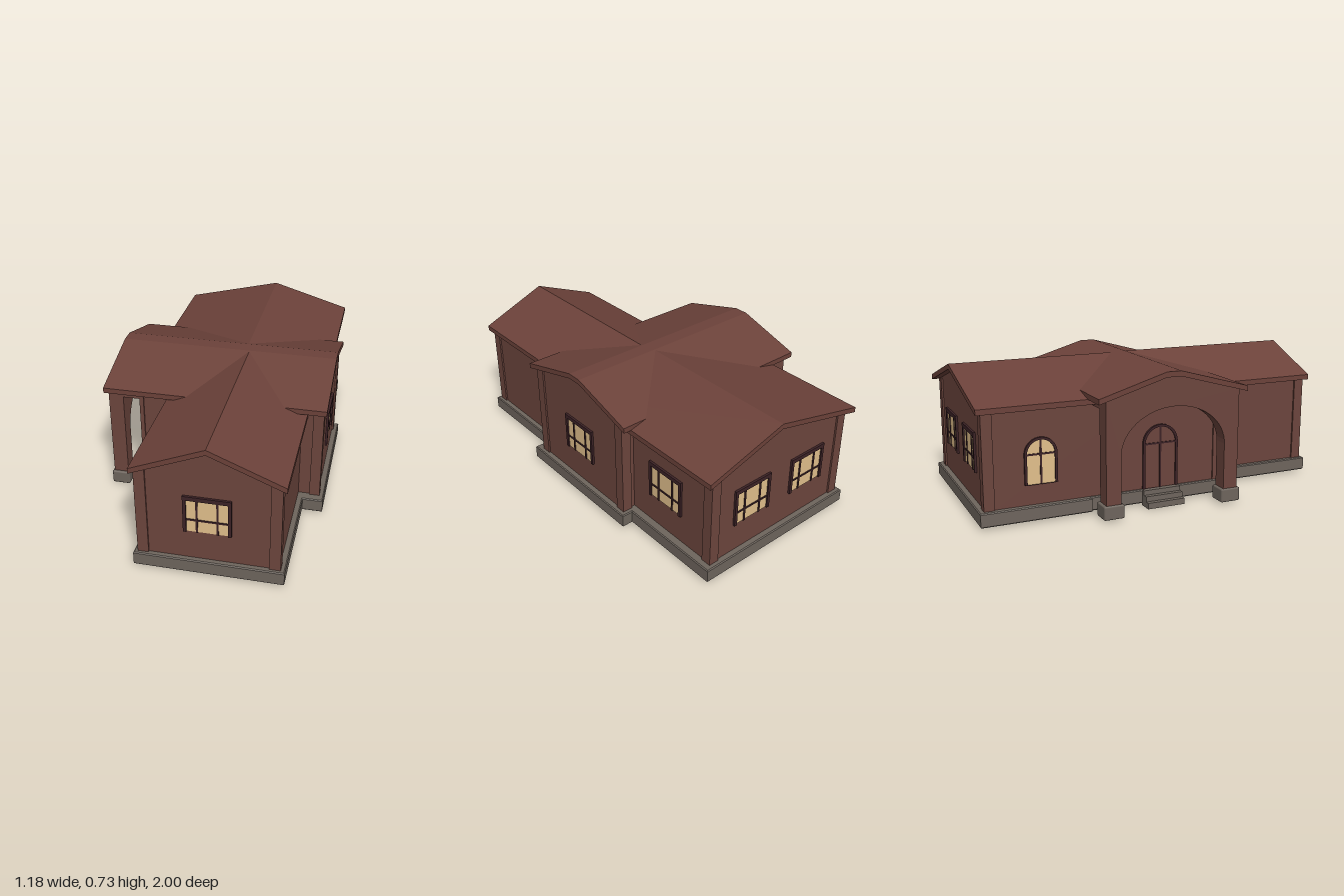
import * as THREE from 'three';
import { RoundedBoxGeometry } from 'three/addons/geometries/RoundedBoxGeometry.js';

const mat = (name, color) => {
  const m = new THREE.MeshStandardMaterial({ color });
  m.name = name;
  return m;
};

export function createModel() {
  const house = new THREE.Group();
  house.name = 'house';
  const wall = mat('wall brown', 0x6c453d);
  const roof = mat('roof red brown', 0x6c423a);
  const frame = mat('dark frame', 0x3c2226);
  const glass = mat('warm glass', 0xe2c08c);
  const stone = mat('grey stone', 0x6e655d);

  const add = (name, geo, m, parent = house) => {
    const mesh = new THREE.Mesh(geo, m);
    mesh.name = name;
    parent.add(mesh);
    return mesh;
  };
  // box given by its limits
  const box = (name, x0, x1, y0, y1, z0, z1, m, parent) => {
    const g = new THREE.BoxGeometry(x1 - x0, y1 - y0, z1 - z0);
    g.translate((x0 + x1) / 2, (y0 + y1) / 2, (z0 + z1) / 2);
    return add(name, g, m, parent);
  };
  const shapeOf = pts => new THREE.Shape(pts.map(p => new THREE.Vector2(p[0], p[1])));
  // prism between a and b along z (profile x,y) or along x (profile z,y)
  const prism = (name, shape, axis, a, b, m) => {
    const g = new THREE.ExtrudeGeometry(shape, { depth: b - a, bevelEnabled: false, curveSegments: 16 });
    if (axis === 'z') g.translate(0, 0, a);
    else g.rotateY(-Math.PI / 2).translate(b, 0, 0);
    return add(name, g, m);
  };
  // sloping band of given thickness below a roof line
  const T = 0.028;
  const band = line => shapeOf([...line, ...line.slice().reverse().map(([u, y]) => [u, y - T])]);
  const heightAt = (line, u) => {
    const i = Math.max(1, line.findIndex(p => u <= p[0]));
    const [a, b] = [line[i - 1], line[i]];
    return a[1] + (b[1] - a[1]) * (u - a[0]) / (b[0] - a[0]);
  };
  // underside of a roof between two wall faces
  const under = (line, u0, u1) => [
    [u0, heightAt(line, u0)], ...line.filter(p => p[0] > u0 && p[0] < u1), [u1, heightAt(line, u1)],
  ].map(([u, y]) => [u, y - T + 0.004]);
  const gableShape = (line, u0, u1, base) => shapeOf([[u0, base], ...under(line, u0, u1), [u1, base]]);

  // roof lines
  const frontLine = [[-0.26, 0.58], [0.11, 0.731], [0.48, 0.58]];
  const backLine = [[-0.45, 0.6], [0.09, 0.731], [0.537, 0.6]];
  const crossLine = [[-0.44, 0.627], [-0.08, 0.733], [0, 0.733], [0.383, 0.627]];

  // roofs
  prism('frontRoof', band(frontLine), 'z', 0, 1, roof);
  prism('backRoof', band(backLine), 'z', -1, -0.08, roof);
  prism('crossRoof', band(crossLine), 'x', -0.592, 0.58, roof);

  // walls of the three wings
  prism('frontWing', gableShape(frontLine, -0.235, 0.45, 0.06), 'z', 0, 0.965, wall);
  prism('backWing', gableShape(backLine, -0.405, 0.485, 0.06), 'z', -0.96, -0.08, wall);
  prism('crossWing', gableShape(crossLine, -0.39, 0.33, 0.06), 'x', -0.405, 0.555, wall);

  // corner boards: wall corner, the direction towards its inside, and top
  const P = 0.009, W = 0.046;
  const corners = [
    [-0.235, 0.965, 1, -1, 0.572], [0.45, 0.965, -1, -1, 0.572],
    [-0.405, -0.96, 1, 1, 0.59], [0.485, -0.96, -1, 1, 0.59],
    [0.555, 0.33, -1, -1, 0.622], [0.555, -0.39, -1, 1, 0.622],
  ];
  for (const [x, z, sx, sz, top] of corners) {
    const xs = [x - sx * P, x + sx * W].sort((a, b) => a - b);
    const zs = [z - sz * P, z + sz * W].sort((a, b) => a - b);
    box('cornerBoard', xs[0], xs[1], 0.08, top, zs[0], zs[1], wall);
  }
  box('cornerBoard', -0.412, -0.39, 0.08, 0.6, 0.29, 0.338, wall);

  // porch: arched front with pillars, and a solid gable above the open sides
  const arch = shapeOf([
    [-0.4, 0.08], ...under(crossLine, -0.4, 0.34), [0.34, 0.08], [0.26, 0.08], [0.26, 0.33],
  ]);
  arch.absellipse(-0.03, 0.33, 0.29, 0.225, 0, Math.PI, false, 0);
  arch.lineTo(-0.32, 0.08);
  prism('porchArch', arch, 'x', -0.58, -0.5, wall);
  prism('porchGable', gableShape(crossLine, -0.4, 0.34, 0.56), 'x', -0.5, -0.4, wall);
  for (const z of [-0.36, 0.3]) {
    const g = new RoundedBoxGeometry(0.1, 0.073, 0.11, 1, 0.008);
    add('pillarBase', g.translate(-0.54, 0.0485, z), stone);
  }

  // foundation band, open in the middle (plan drawn as x, -z)
  const plan = [
    [-0.26, 0.99], [0.478, 0.99], [0.478, 0.382], [0.585, 0.382], [0.585, -0.42], [0.525, -0.42],
    [0.525, -0.99], [-0.435, -0.99], [-0.435, -0.42], [-0.418, -0.42], [-0.418, 0.382], [-0.26, 0.382],
  ];
  const inner = [
    [-0.19, 0.92], [0.41, 0.92], [0.41, 0.32], [0.515, 0.32], [0.515, -0.35], [0.46, -0.35],
    [0.46, -0.92], [-0.365, -0.92], [-0.365, -0.35], [-0.35, -0.35], [-0.35, 0.32], [-0.19, 0.32],
  ];
  const flip = pts => pts.map(([x, z]) => [x, -z]);
  const ring = shapeOf(flip(plan));
  ring.holes.push(shapeOf(flip(inner)));
  const B = 0.005;
  const ringGeo = new THREE.ExtrudeGeometry(ring, {
    depth: 0.073 - 2 * B, bevelThickness: B, bevelSize: B, bevelOffset: -B / 2, bevelSegments: 1,
  });
  ringGeo.rotateX(-Math.PI / 2).translate(0, 0.012 + B, 0);
  add('foundation', ringGeo, stone);

  // entrance steps
  [[-0.49, 0.032], [-0.465, 0.06], [-0.44, 0.085]].forEach(([x, y]) => {
    box('step', x, -0.415, 0, y, -0.13, 0.08, stone);
  });

  // square windows, built facing +z
  const place = (name, x, y, z, turn) => {
    const g = new THREE.Group();
    g.name = name;
    g.position.set(x, y, z);
    g.rotation.y = turn;
    house.add(g);
    return g;
  };
  const squareWindow = (x, z, turn) => {
    const g = place('window', x, 0.345, z, turn);
    box('glass', -0.105, 0.105, -0.1, 0.085, -0.002, 0.004, glass, g);
    box('topFrame', -0.117, 0.117, 0.08, 0.102, 0, 0.012, frame, g);
    for (const s of [-1, 1]) {
      box('sideFrame', s * 0.109 - 0.008, s * 0.109 + 0.008, -0.102, 0.08, 0, 0.012, frame, g);
      box('mullion', s * 0.05 - 0.005, s * 0.05 + 0.005, -0.102, 0.08, 0, 0.008, frame, g);
    }
    box('crossbar', -0.105, 0.105, -0.036, -0.027, 0, 0.008, frame, g);
  };
  const H = Math.PI / 2;
  squareWindow(0.105, 0.965, 0);
  squareWindow(0.555, -0.03, H);
  squareWindow(0.485, -0.64, H);
  squareWindow(0.225, -0.96, 2 * H);
  squareWindow(-0.155, -0.96, 2 * H);

  // arched openings on the porch side
  const archShape = (r, h) => {
    const s = shapeOf([[-r, 0], [r, 0], [r, h - r]]);
    s.absarc(0, h - r, r, 0, Math.PI, false);
    return s;
  };
  const plate = (name, s, d, m, g) =>
    add(name, new THREE.ExtrudeGeometry(s, { depth: d, bevelEnabled: false }), m, g);
  const archedOpening = (name, z, y, r, h, fill) => {
    const g = place(name, -0.405, y, z, -H);
    const rim = archShape(r, h);
    rim.holes.push(archShape(r - 0.013, h - 0.013));
    plate('rim', rim, 0.011, frame, g);
    plate('panel', archShape(r - 0.01, h - 0.01), 0.004, fill, g);
    box('mullion', -0.005, 0.005, 0, h - 0.01, 0, 0.008, frame, g);
    box('crossbar', -r + 0.01, r - 0.01, h - r - 0.005, h - r + 0.004, 0, 0.008, frame, g);
  };
  archedOpening('archedWindow', -0.675, 0.19, 0.085, 0.238, glass);
  archedOpening('door', -0.025, 0.085, 0.1, 0.34, wall);
  return house;
}
